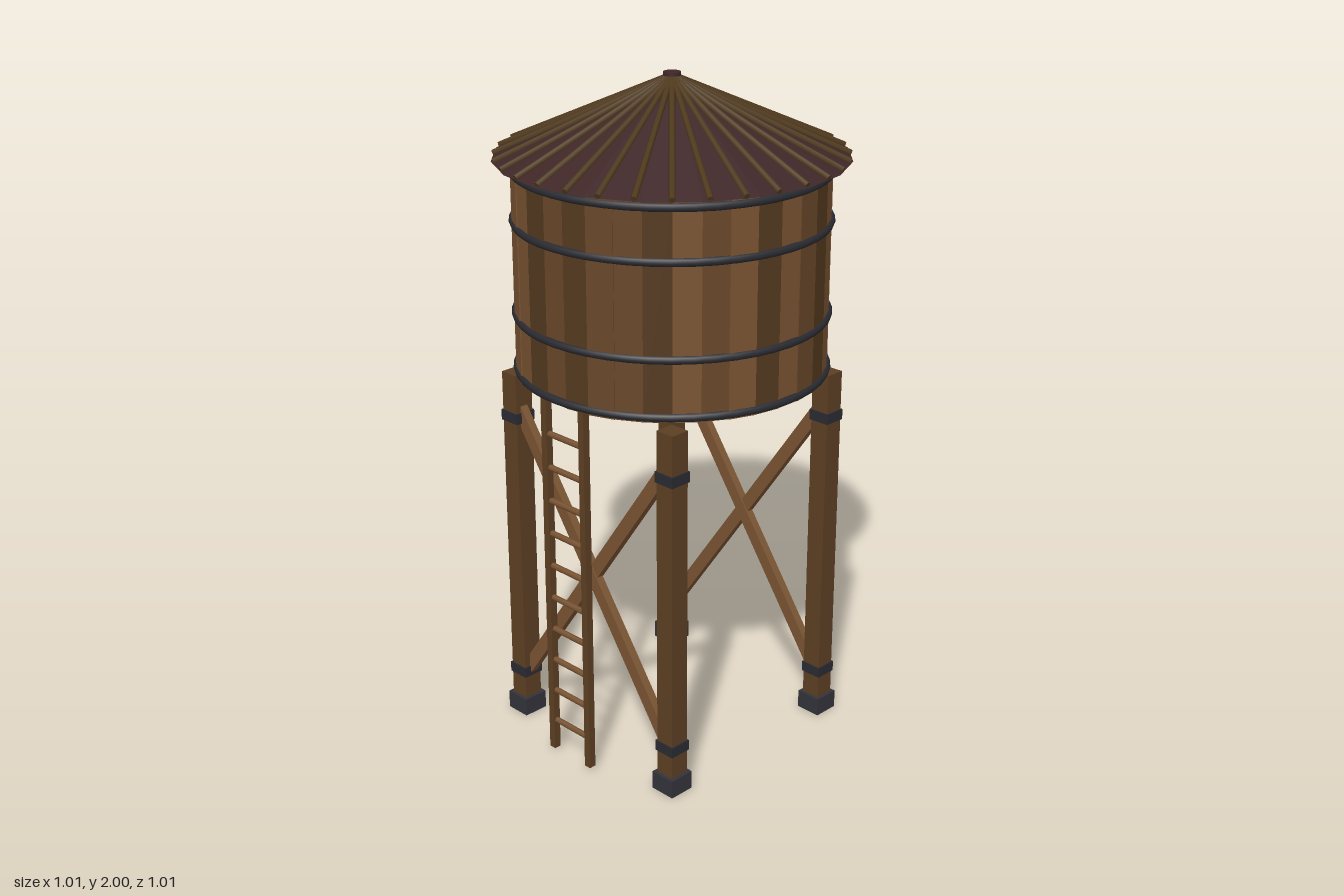
import * as THREE from 'three';

const mat = (name, color) => {
  const m = new THREE.MeshStandardMaterial({ color });
  m.name = name;
  return m;
};

export function createModel() {
  const timber = mat('timber brown', 0x5c3f23);
  const lightWood = mat('light wood', 0x7a5433);
  const staveWoods = [
    mat('dark stave', 0x54391f), mat('mid stave', 0x684629), lightWood,
  ];
  const floorWood = mat('floor wood', 0x3f2d18);
  const roofRed = mat('roof red brown', 0x3f2728);
  const ribWood = mat('rib wood', 0x503a1d);
  const iron = mat('dark iron', 0x2a2b31);
  const stone = mat('dark footing', 0x33333b);

  const model = new THREE.Group();
  model.name = 'waterTower';
  const add = (name, geometry, material, x = 0, y = 0, z = 0, parent = model) => {
    const mesh = new THREE.Mesh(geometry, material);
    mesh.name = name;
    mesh.position.set(x, y, z);
    parent.add(mesh);
    return mesh;
  };
  const box = (w, h, d) => new THREE.BoxGeometry(w, h, d);

  let seed = 11;
  const random = () => (seed = (seed * 16807) % 2147483647) / 2147483647;

  // Four legs with footings and iron straps
  const L = 0.32;
  for (const sx of [-1, 1]) for (const sz of [-1, 1]) {
    const leg = new THREE.Group();
    leg.name = 'leg';
    leg.position.set(sx * L, 0, sz * L);
    model.add(leg);
    add('post', box(0.06, 1.1, 0.06), timber, 0, 0.575, 0, leg);
    add('footing', box(0.08, 0.056, 0.08), stone, 0, 0.028, 0, leg);
    for (const y of [0.145, 0.99]) add('strap', box(0.068, 0.032, 0.068), iron, 0, y, 0, leg);
  }

  // Crossed braces on the front and back only
  const rise = 0.88, run = 0.62;
  for (const sz of [-1, 1]) for (const s of [-1, 1]) {
    const brace = add('brace', box(0.04, Math.hypot(rise, run), 0.025), lightWood, 0, 0.58, sz * L + s * 0.002);
    brace.rotation.z = s * Math.atan2(run, rise);
  }

  // Ladder
  const ladder = new THREE.Group();
  ladder.name = 'ladder';
  ladder.position.z = 0.42;
  model.add(ladder);
  for (const s of [-1, 1]) add('rail', box(0.022, 1.14, 0.022), timber, s * 0.077, 0.58, 0, ladder);
  const rungGeo = new THREE.CylinderGeometry(0.009, 0.009, 0.15, 6);
  for (let i = 0; i < 10; i++) {
    add('rung', rungGeo, lightWood, 0, 0.105 + i * 0.103, 0, ladder).rotation.z = Math.PI / 2;
  }

  // Tank: a ring of slightly uneven staves around a floor
  const staves = 36;
  const staveGeo = box(0.08, 0.62, 0.03);
  for (let i = 0; i < staves; i++) {
    const a = (i / staves) * Math.PI * 2;
    const r = 0.433 + (random() - 0.5) * 0.006;
    const wood = staveWoods[Math.floor(random() * 3)];
    add('stave', staveGeo, wood, Math.sin(a) * r, 1.455, Math.cos(a) * r).rotation.y = a;
  }
  add('tankFloor', new THREE.CylinderGeometry(0.437, 0.437, 0.02, 36), floorWood, 0, 1.153, 0);

  // Iron hoops
  const hoopGeo = new THREE.TorusGeometry(0.447, 0.012, 8, 48);
  for (const y of [1.159, 1.323, 1.593, 1.74]) add('hoop', hoopGeo, iron, 0, y, 0).rotation.x = Math.PI / 2;

  // Conical roof with radiating ribs and a cap
  const eaveY = 1.768, apexY = 1.99;
  const roofGeo = new THREE.ConeGeometry(0.503, apexY - eaveY, 20).toNonIndexed();
  roofGeo.computeVertexNormals();
  add('roof', roofGeo, roofRed, 0, (eaveY + apexY) / 2, 0);

  const inner = new THREE.Vector3(0.012, apexY - 0.003, 0);
  const outer = new THREE.Vector3(0.498, eaveY + 0.005, 0);
  const ribGeo = new THREE.CylinderGeometry(0.009, 0.009, inner.distanceTo(outer), 6);
  const slope = new THREE.Vector3().subVectors(inner, outer);
  for (let i = 0; i < 32; i++) {
    const rib = new THREE.Group();
    rib.name = 'roofRib';
    rib.rotation.y = (i / 32) * Math.PI * 2;
    model.add(rib);
    const bar = add('ribBar', ribGeo, ribWood, (inner.x + outer.x) / 2, (inner.y + outer.y) / 2, 0, rib);
    bar.rotation.z = Math.atan2(-slope.x, slope.y);
  }
  add('roofCap', new THREE.CylinderGeometry(0.025, 0.025, 0.03, 16), roofRed, 0, 1.985, 0);

  return model;
}
